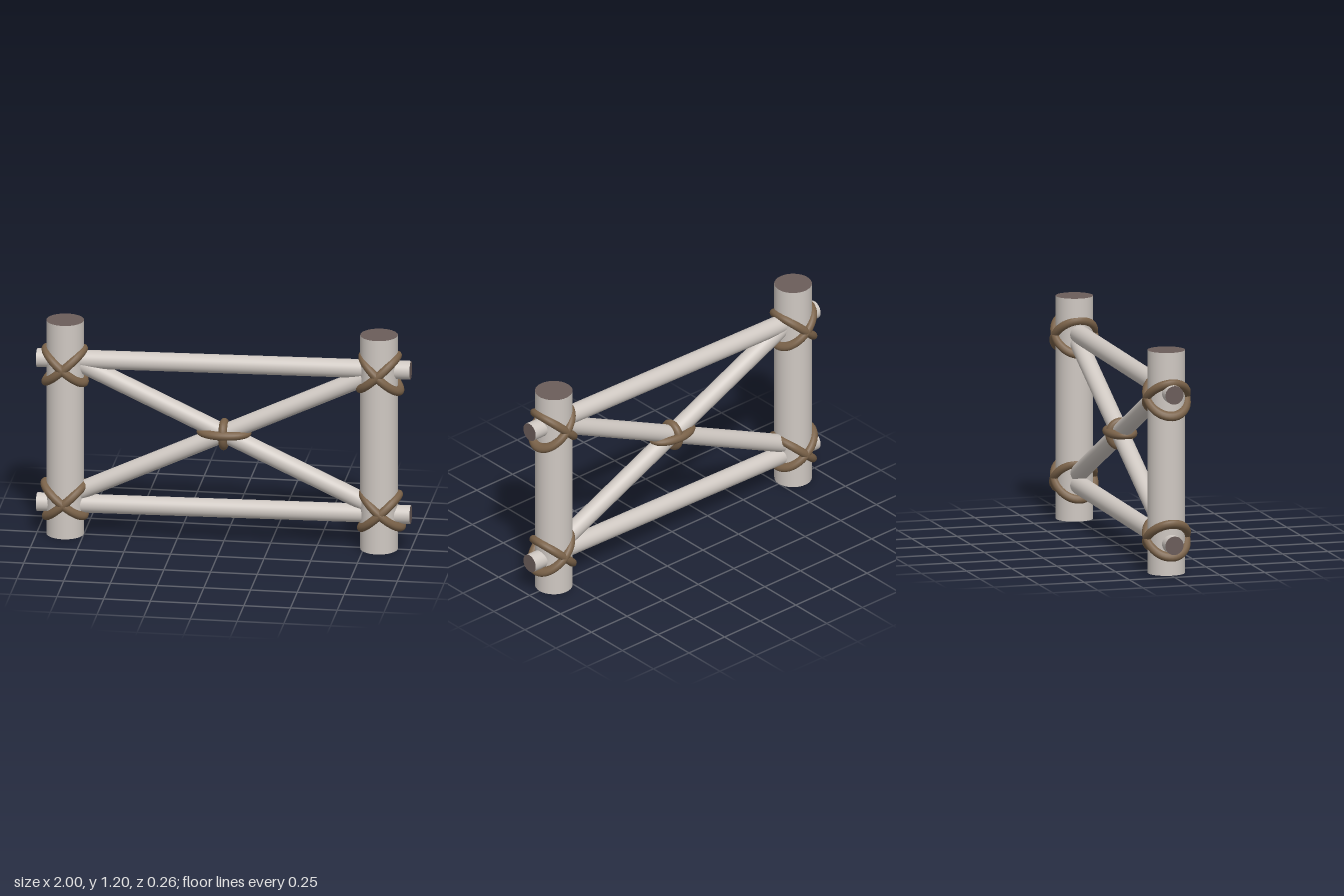
import * as THREE from 'three';

export function createModel() {
  const model = new THREE.Group();
  model.name = 'fenceSection';

  const wood = new THREE.MeshStandardMaterial({ color: 0xcfc8c2 });
  wood.name = 'pale wood';
  const endGrain = new THREE.MeshStandardMaterial({ color: 0x6b5d5a });
  endGrain.name = 'dark end grain';
  const rope = new THREE.MeshStandardMaterial({ color: 0x7a6249 });
  rope.name = 'brown rope';

  // Round pole between two points in the z = 0 plane, with dark cut ends
  function pole(name, x1, y1, x2, y2, radius) {
    const length = Math.hypot(x2 - x1, y2 - y1);
    const geometry = new THREE.CylinderGeometry(radius, radius, length, 32);
    const mesh = new THREE.Mesh(geometry, [wood, endGrain, endGrain]);
    mesh.name = name;
    mesh.position.set((x1 + x2) / 2, (y1 + y2) / 2, 0);
    mesh.rotation.z = Math.atan2(y2 - y1, x2 - x1) - Math.PI / 2;
    model.add(mesh);
  }

  // Oval rope loop seen edge-on from the front: half length along its tilt, half depth in z
  function loop(name, x, y, degrees, halfLength, halfDepth) {
    const tube = 0.023;
    const size = Math.min(halfLength, halfDepth);
    const geometry = new THREE.TorusGeometry(size - tube, tube, 14, 40);
    geometry.rotateX(Math.PI / 2);
    geometry.scale(halfLength / size, 1, halfDepth / size);
    const mesh = new THREE.Mesh(geometry, rope);
    mesh.name = name;
    mesh.position.set(x, y, 0);
    mesh.rotation.z = THREE.MathUtils.degToRad(degrees);
    model.add(mesh);
  }

  // Upright posts
  pole('rightPost', -0.85, 0, -0.85, 1.2, 0.1);
  pole('leftPost', 0.83, 0, 0.83, 1.2, 0.1);

  // Slightly sloping rails
  pole('topRail', -1, 0.98, 1, 1.01, 0.05);
  pole('bottomRail', -1, 0.17, 1, 0.198, 0.05);

  // Crossed braces, ending inside the posts
  pole('fallingBrace', -0.82, 0.985, 0.82, 0.225, 0.048);
  pole('risingBrace', -0.82, 0.22, 0.82, 0.99, 0.048);

  // Crossed lashings where rails meet posts: x, y, tilt
  const lashings = [
    ['upperRightLashing', -0.85, 0.946, -41], ['upperRightLashing', -0.853, 0.947, 42],
    ['upperLeftLashing', 0.829, 0.992, 43], ['upperLeftLashing', 0.842, 0.986, -43],
    ['lowerRightLashing', -0.853, 0.195, -39], ['lowerRightLashing', -0.85, 0.19, 42],
    ['lowerLeftLashing', 0.848, 0.221, -41], ['lowerLeftLashing', 0.835, 0.211, 43],
  ];
  for (const [name, x, y, tilt] of lashings) loop(name, x, y, tilt, 0.16, 0.13);

  // Lashing around the crossing of the braces
  loop('centreLashingAcross', 0, 0.61, 0, 0.147, 0.087);
  loop('centreLashingUpright', 0, 0.6, 90, 0.087, 0.079);

  return model;
}
